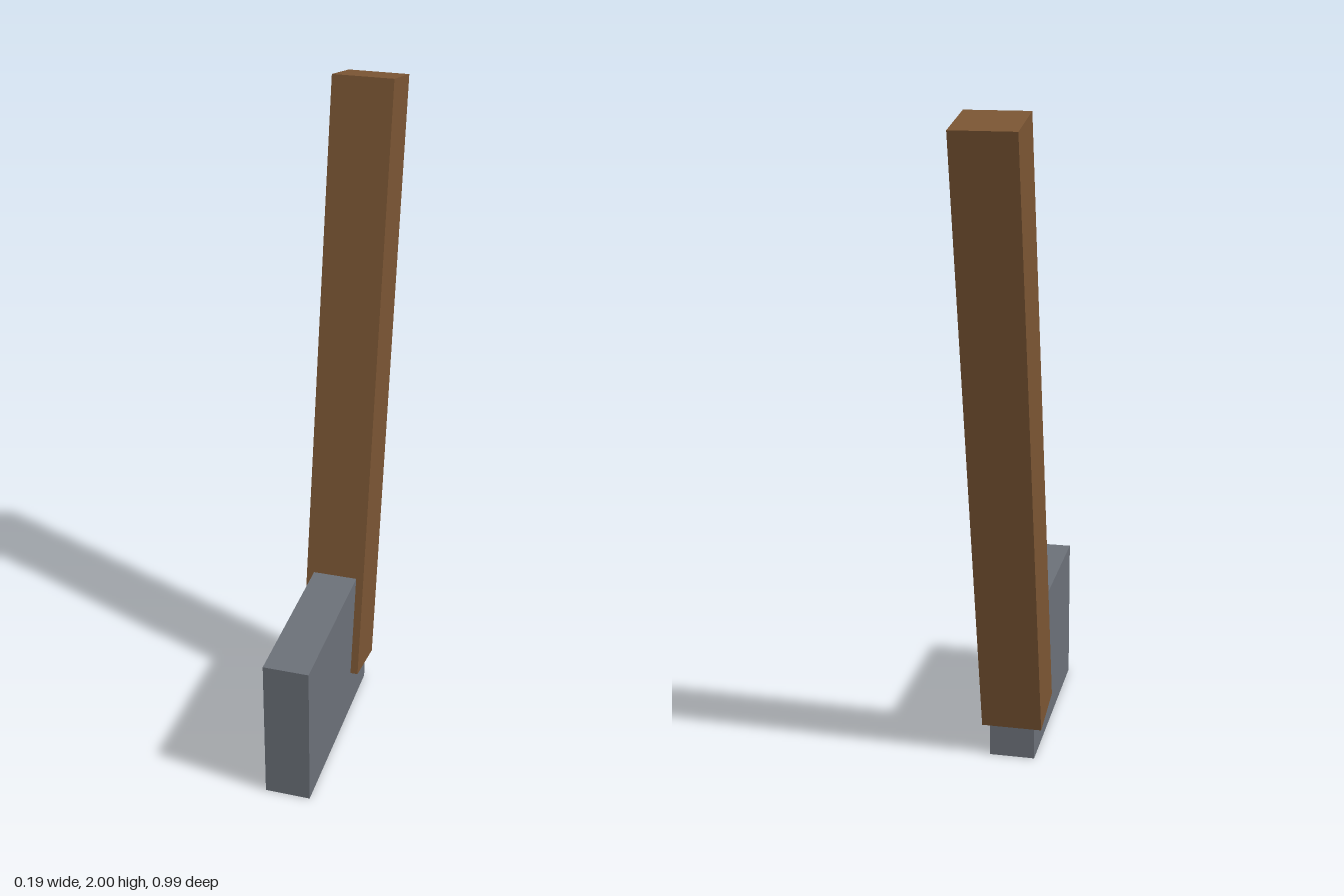
import * as THREE from 'three';

export function createModel() {
  const model = new THREE.Group();

  const addBox = (name, size, position, color) => {
    const material = new THREE.MeshStandardMaterial({ color });
    const mesh = new THREE.Mesh(new THREE.BoxGeometry(...size), material);
    mesh.name = name;
    mesh.position.set(...position);
    model.add(mesh);
    return mesh;
  };

  // Upright slab of the head, standing on the ground
  addBox('head', [0.14, 0.465, 0.637], [0, 0.2325, 0.178], 0x6b7078);

  // Square handle leaning back, with the head running through its lower end
  const handle = addBox('handle', [0.187, 1.895, 0.187], [0, 1.052, -0.23], 0x7a5533);
  handle.rotation.x = -0.185;

  return model;
}
